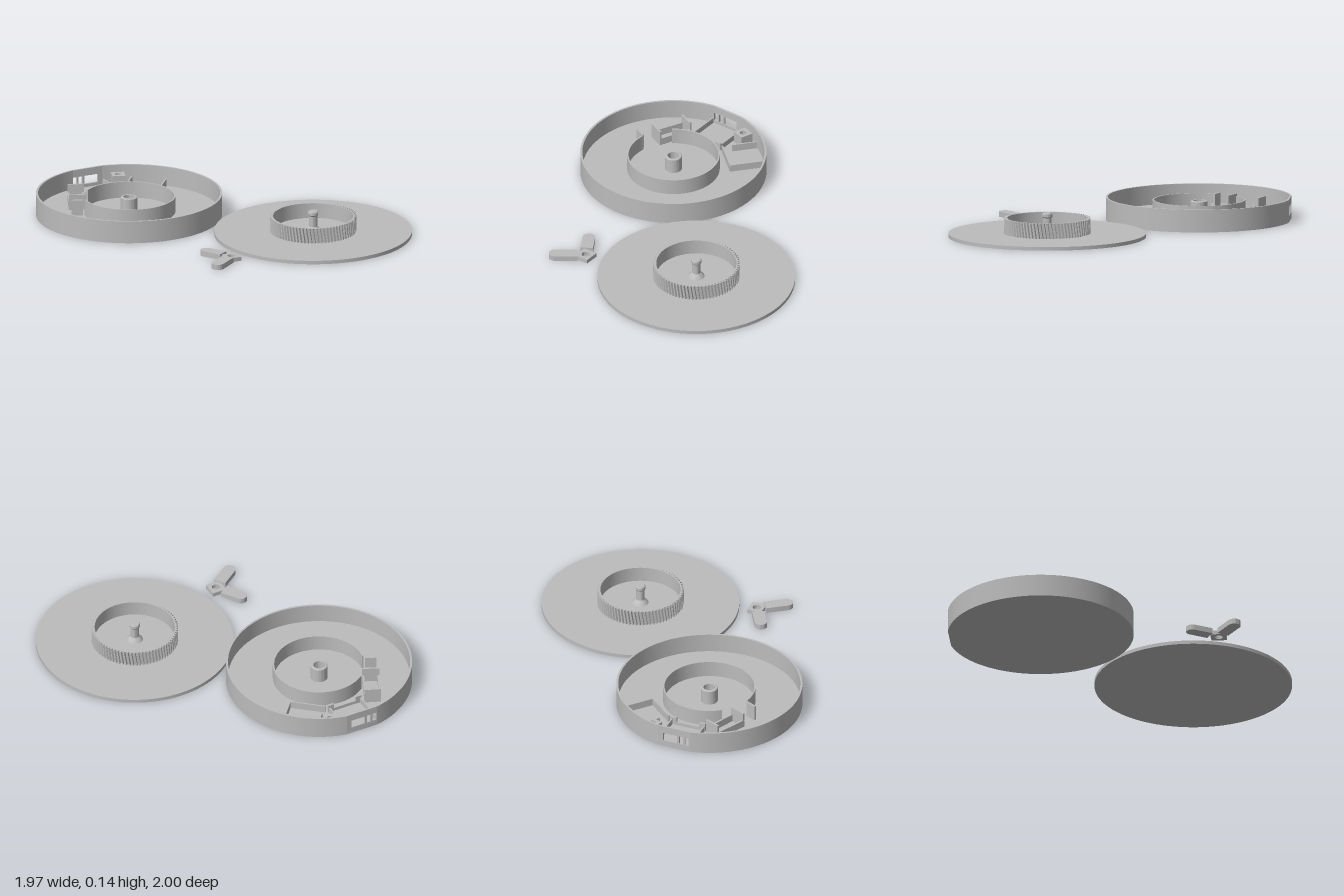
import * as THREE from 'three';
import { toCreasedNormals } from 'three/addons/utils/BufferGeometryUtils.js';

const grey = new THREE.MeshStandardMaterial({ color: 0xbcbcbc });
grey.name = 'greyPlastic';

function add(parent, name, geometry, x = 0, y = 0, z = 0) {
  const mesh = new THREE.Mesh(geometry, grey);
  mesh.name = name;
  mesh.position.set(x, y, z);
  parent.add(mesh);
  return mesh;
}

// Extrude a plan (shape y = -z) upwards from y = 0
function upright(shape, height, smooth = true) {
  const g = new THREE.ExtrudeGeometry(shape, { depth: height, bevelEnabled: false, curveSegments: 96 });
  g.rotateX(-Math.PI / 2);
  return smooth ? toCreasedNormals(g, 0.5) : g;
}

function lathe(points, segments = 48) {
  const g = new THREE.LatheGeometry(points.map(([r, y]) => new THREE.Vector2(r, y)), segments);
  return toCreasedNormals(g, 0.5);
}

// Thin straight wall between two plan points [x, z]
function wall(parent, name, [x1, z1], [x2, z2], y0, y1, thick = 0.009) {
  const length = Math.hypot(x2 - x1, z2 - z1) + thick;
  const m = add(parent, name, new THREE.BoxGeometry(length, y1 - y0, thick),
    (x1 + x2) / 2, (y0 + y1) / 2, (z1 + z2) / 2);
  m.rotation.y = -Math.atan2(z2 - z1, x2 - x1);
}

function rect(x0, y0, x1, y1, Type = THREE.Path) {
  const p = new Type();
  p.moveTo(x0, y0);
  p.lineTo(x1, y0);
  p.lineTo(x1, y1);
  p.lineTo(x0, y1);
  p.closePath();
  return p;
}

function circle(r, Type = THREE.Path) {
  const p = new Type();
  p.absarc(0, 0, r, 0, Math.PI * 2, false);
  return p;
}

// Arc of a ring, counter-clockwise from a0 to a1
function ringArc(rOut, rIn, a0, a1, b0 = a0, b1 = a1) {
  const s = new THREE.Shape();
  s.absarc(0, 0, rOut, a0, a1, false);
  s.absarc(0, 0, rIn, b1, b0, true);
  s.closePath();
  return s;
}

function buildTray() {
  const g = new THREE.Group();
  g.name = 'tray';
  const R = 0.5625, rIn = 0.55, flat = 0.553, flatIn = 0.541, H = 0.138, floorH = 0.02, up = Math.PI / 2;
  const a = Math.acos(flat / R), b = Math.acos(flatIn / rIn);

  // Floor with one flattened edge
  const plan = new THREE.Shape();
  plan.absarc(0, 0, R, up + a, up - a + Math.PI * 2, false);
  plan.closePath();
  add(g, 'trayFloor', upright(plan, floorH));

  // Round wall, then the flat panel with its port openings
  add(g, 'trayWall', upright(
    ringArc(R, rIn, up + a, up - a + 2 * Math.PI, up + b, up - b + 2 * Math.PI), H - floorH), 0, floorH);
  const half = R * Math.sin(a);
  const panel = rect(-half, floorH, half, H, THREE.Shape);
  [[-0.02, 0.07], [-0.06, -0.035], [-0.098, -0.073]].forEach(([x0, x1]) =>
    panel.holes.push(rect(x0, 0.04, x1, 0.092)));
  add(g, 'portPanel', new THREE.ExtrudeGeometry(panel, { depth: flat - flatIn, bevelEnabled: false }), 0, 0, -flat);

  // Inner ring with a gap, and the hollow hub
  add(g, 'innerRing', upright(ringArc(0.28, 0.271, 2.95, 2.25 + Math.PI * 2), 0.1), 0, floorH);
  add(g, 'hub', lathe([[0.051, 0.02], [0.051, 0.11], [0.046, 0.114], [0.035, 0.114], [0.035, 0.02]]));

  // Square holder behind the ports
  const x0 = -0.106, x1 = 0.106, zb = -0.535, zf = -0.328;
  [x0, x1].forEach(x => wall(g, 'holderSide', [x, zb], [x, zf], floorH, 0.055));
  wall(g, 'holderFront', [x0, zf], [x1, zf], floorH, 0.04, 0.012);
  [[x0, x0 + 0.025], [x1 - 0.025, x1]].forEach(([p, q]) =>
    wall(g, 'holderCorner', [p, zf], [q, zf], floorH, 0.07, 0.014));

  // Drilled square post
  const post = rect(-0.04, -0.04, 0.04, 0.04, THREE.Shape);
  post.holes.push(circle(0.02));
  add(g, 'screwPost', upright(post, 0.075), 0.173, floorH, -0.472).rotation.y = -0.35;

  // Angled open bay beside the post
  [[[0.275, -0.485], [0.175, -0.365]], [[0.132, -0.318], [0.295, -0.18]], [[0.295, -0.18], [0.43, -0.34]]]
    .forEach(([p, q]) => wall(g, 'bayWall', p, q, floorH, 0.065));

  // Angled switch bracket with tall ends, and a single tab
  const c = [[-0.215, -0.38], [-0.133, -0.347], [-0.217, -0.157], [-0.302, -0.195]];
  c.forEach((p, i) => wall(g, i % 2 ? 'bracketSide' : 'bracketEnd', p, c[(i + 1) % 4],
    floorH, i % 2 ? 0.065 : 0.115, 0.012));
  wall(g, 'cableTab', [-0.335, -0.093], [-0.285, -0.07], floorH, 0.115, 0.014);

  g.position.set(-0.4225, 0, -0.447);
  return g;
}

function buildTurntable() {
  const g = new THREE.Group();
  g.name = 'turntable';
  const R = 0.5975, top = 0.022;
  add(g, 'disc', lathe([[0, 0], [R, 0], [R, top], [0, top]], 128));

  // Ring gear with slightly slanted teeth
  const teeth = 76, step = Math.PI * 2 / teeth, rim = new THREE.Shape();
  for (let i = 0; i < teeth; i++) {
    [[0.25, 0], [0.25, 0.3], [0.262, 0.5], [0.262, 0.8]].forEach(([r, f], k) => {
      const t = (i + f) * step;
      rim[i + k ? 'lineTo' : 'moveTo'](r * Math.cos(t), r * Math.sin(t));
    });
  }
  rim.closePath();
  rim.holes.push(circle(0.242));
  const gear = upright(rim, 0.093, false), p = gear.attributes.position;
  for (let i = 0; i < p.count; i++) {
    const x = p.getX(i), z = p.getZ(i), t = p.getY(i) * 0.6;
    p.setX(i, x * Math.cos(t) - z * Math.sin(t));
    p.setZ(i, x * Math.sin(t) + z * Math.cos(t));
  }
  add(g, 'ringGear', toCreasedNormals(gear, 0.4), 0, top);

  // Central spindle with a flared foot and snap head
  add(g, 'spindle', lathe([[0.05, top], [0.046, 0.03], [0.032, 0.042], [0.026, 0.05], [0.026, 0.115],
    [0.031, 0.122], [0.031, 0.138], [0.026, 0.145], [0, 0.145]]));
  g.position.set(0.3875, 0, 0.4025);
  return g;
}

function buildLever() {
  const g = new THREE.Group();
  g.name = 'lever';
  const plate = rect(-0.045, -0.047, 0.045, 0.047, THREE.Shape);
  plate.holes.push(circle(0.025));
  add(g, 'pivotPlate', upright(plate, 0.025));

  // Two round-ended arms; each stops at the plate
  [[-0.09, -0.15, 0.058], [-0.15, 0.11, 0.05]].forEach(([x, z, start]) => {
    const reach = Math.hypot(x, z), w = 0.038, arm = new THREE.Shape();
    arm.moveTo(start, -w);
    arm.lineTo(reach, -w);
    arm.absarc(reach, 0, w, -Math.PI / 2, Math.PI / 2, false);
    arm.lineTo(start, w);
    arm.closePath();
    add(g, 'arm', upright(arm, 0.033)).rotation.y = Math.atan2(-z, x);
  });
  g.position.set(-0.284, 0, 0.62);
  return g;
}

export function createModel() {
  const model = new THREE.Group();
  model.name = 'turntableKit';
  model.add(buildTray(), buildTurntable(), buildLever());
  return model;
}
